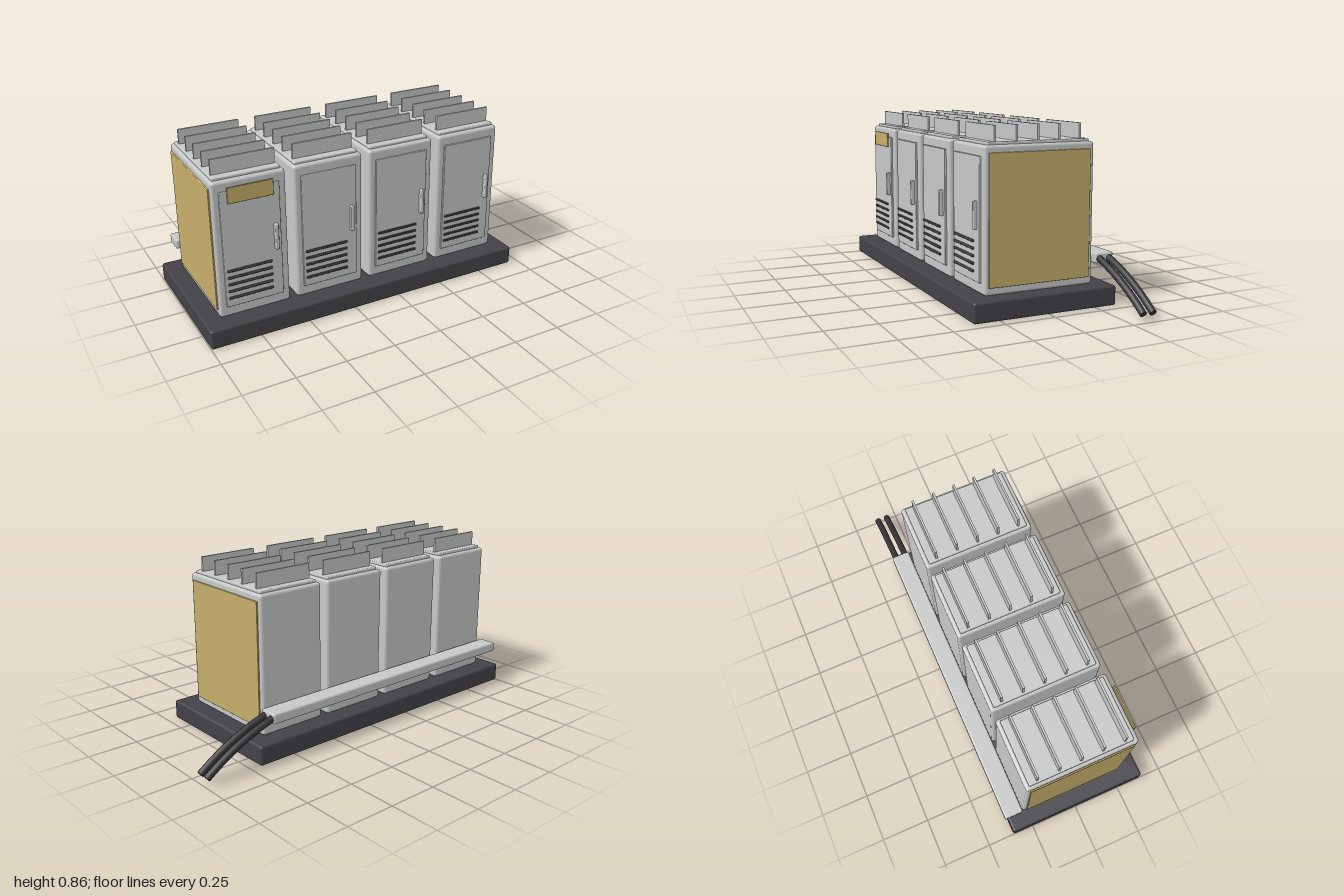
import * as THREE from 'three';
import { RoundedBoxGeometry } from 'three/addons/geometries/RoundedBoxGeometry.js';

function material(name, color) {
  const m = new THREE.MeshStandardMaterial({ color });
  m.name = name;
  return m;
}

// Rounded (or, with radius 0, plain) box given by its limits on each axis
function box(name, mat, [x0, x1], [y0, y1], [z0, z1], radius = 0) {
  const w = x1 - x0, h = y1 - y0, d = z1 - z0;
  const geometry = radius
    ? new RoundedBoxGeometry(w, h, d, 3, radius)
    : new THREE.BoxGeometry(w, h, d);
  const mesh = new THREE.Mesh(geometry, mat);
  mesh.name = name;
  mesh.position.set((x0 + x1) / 2, (y0 + y1) / 2, (z0 + z1) / 2);
  return mesh;
}

export function createModel() {
  const grey = material('light grey paint', 0xc6c8c7);
  const dark = material('dark base', 0x434247);
  const gold = material('ochre panel', 0xc6ad6a);
  const rubber = material('black cable', 0x343438);

  const model = new THREE.Group();
  model.name = 'cabinetRow';

  // Plinth
  model.add(box('plinth', dark, [-1, 0.7], [0, 0.097], [-0.361, 0.382], 0.012));

  // One cabinet, centred on x = 0
  function cabinet() {
    const g = new THREE.Group();
    g.add(box('cabinetBody', grey, [-0.178, 0.178], [0.097, 0.778], [-0.274, 0.293], 0.015));
    g.add(box('roofCap', grey, [-0.163, 0.163], [0.77, 0.791], [-0.254, 0.272], 0.006));
    g.add(box('door', grey, [-0.144, 0.142], [0.151, 0.728], [0.285, 0.303], 0.004));
    g.add(box('handle', grey, [0.105, 0.123], [0.396, 0.526], [0.298, 0.322], 0.005));

    // Roof fins
    for (let i = 0; i < 5; i++) {
      const z = 0.229 - i * 0.1097;
      g.add(box('roofFin', grey, [-0.153, 0.153], [0.785, 0.864], [z - 0.0055, z + 0.0055]));
    }

    // Door louvres
    for (let i = 0; i < 5; i++) {
      const y = 0.338 - i * 0.035;
      g.add(box('louvre', dark, [-0.132, 0.089], [y - 0.006, y + 0.006], [0.3, 0.311], 0.004));
    }
    return g;
  }

  for (let i = 0; i < 4; i++) {
    const g = cabinet();
    g.name = 'cabinet' + (i + 1);
    g.position.x = -0.741 + i * 0.3943;
    model.add(g);
  }

  // Name plate on the first door
  model.add(box('namePlate', gold, [-0.851, -0.631], [0.672, 0.75], [0.303, 0.312], 0.003));

  // Coloured end panels
  for (const [name, x] of [['rightEndPanel', [-0.926, -0.917]], ['leftEndPanel', [0.618, 0.627]]]) {
    model.add(box(name, gold, x, [0.133, 0.745], [-0.253, 0.272], 0.003));
  }

  // Cable duct along the back
  model.add(box('cableDuct', grey, [-0.936, 0.637], [0.195, 0.246], [-0.381, -0.284], 0.01));

  // Two cables drooping from the end of the duct
  for (const z of [-0.306, -0.359]) {
    const path = new THREE.QuadraticBezierCurve3(
      new THREE.Vector3(0.62, 0.222, z),
      new THREE.Vector3(0.82, 0.166, z),
      new THREE.Vector3(0.991, 0.039, z)
    );
    const cable = new THREE.Mesh(new THREE.TubeGeometry(path, 20, 0.017, 14), rubber);
    cable.name = 'cable';
    model.add(cable);

    // Closed cable end
    const end = new THREE.Mesh(new THREE.CircleGeometry(0.017, 14), rubber);
    end.name = 'cableEnd';
    end.position.copy(path.getPoint(1));
    end.quaternion.setFromUnitVectors(new THREE.Vector3(0, 0, 1), path.getTangent(1));
    model.add(end);
  }

  return model;
}
